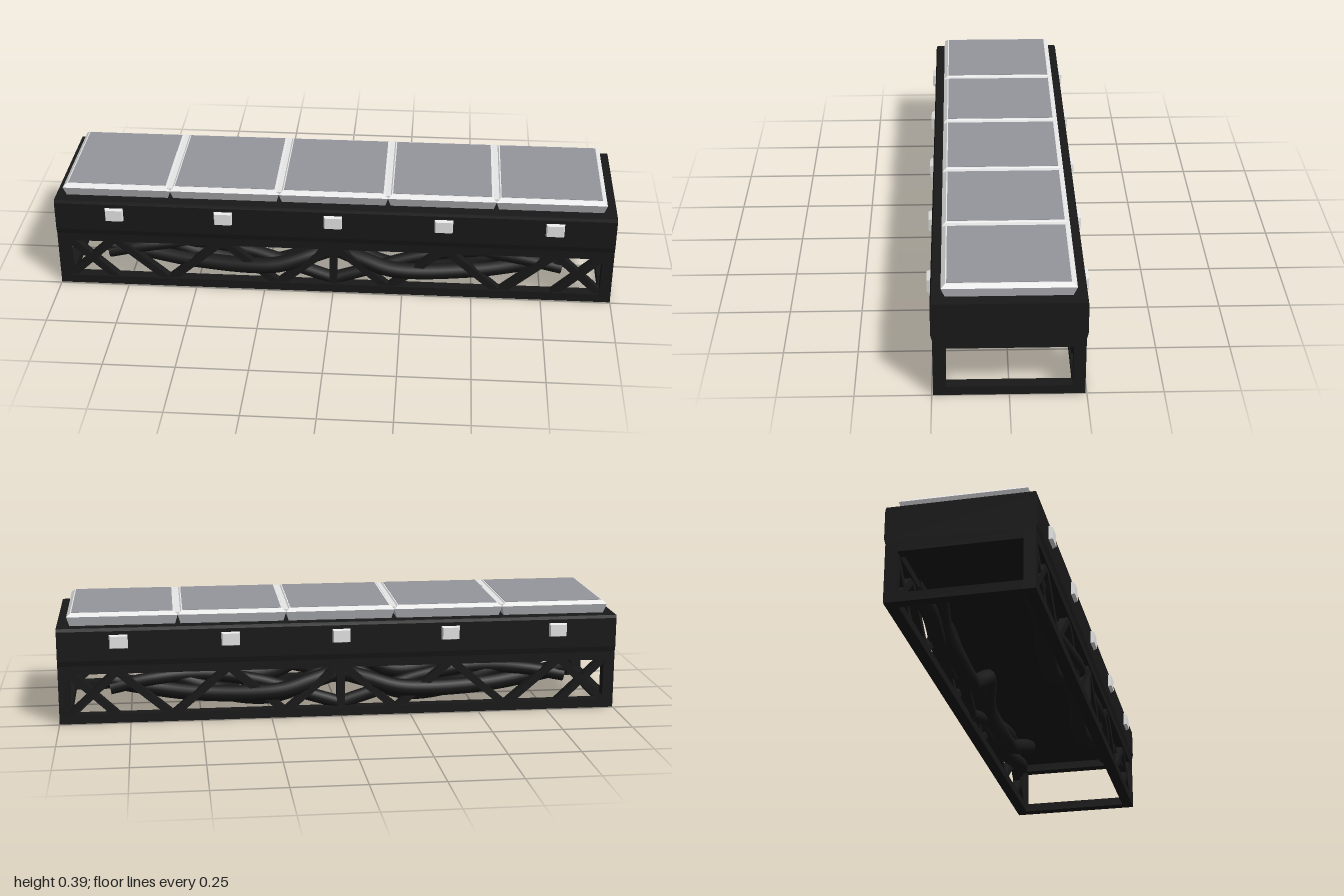
import * as THREE from 'three';

const mat = (name, color) => {
  const m = new THREE.MeshStandardMaterial({ color });
  m.name = name;
  return m;
};

export function createModel() {
  const black = mat('black frame', 0x191919);
  const grey = mat('grey pad', 0x95969c);
  const silver = mat('silver pad side', 0xc8c9ce);
  const pale = mat('pale trim', 0xfafafa);
  const root = new THREE.Group();

  const add = (name, geo, material, x = 0, y = 0, z = 0, parent = root) => {
    const m = new THREE.Mesh(geo, material);
    m.name = name;
    m.position.set(x, y, z);
    parent.add(m);
    return m;
  };
  const box = (name, w, h, d, x, y, z, material = black, parent = root) =>
    add(name, new THREE.BoxGeometry(w, h, d), material, x, y, z, parent);

  // Box whose bottom and top rectangles differ in size
  const frustum = (w0, d0, w1, d1, h) => {
    const g = new THREE.BoxGeometry(1, h, 1);
    const p = g.attributes.position;
    for (let i = 0; i < p.count; i++) {
      const top = p.getY(i) > 0;
      p.setX(i, p.getX(i) * (top ? w1 : w0));
      p.setZ(i, p.getZ(i) * (top ? d1 : d0));
    }
    g.computeVertexNormals();
    return g;
  };

  // Solid upper body: profile in (z, y), extruded along x
  const profile = new THREE.Shape([
    [-0.245, 0.21], [0.245, 0.21], [0.25, 0.23], [0.25, 0.335], [0.246, 0.346],
    [-0.246, 0.346], [-0.25, 0.335], [-0.25, 0.23],
  ].map(([a, b]) => new THREE.Vector2(a, b)));
  const bodyGeo = new THREE.ExtrudeGeometry(profile, { depth: 2, bevelEnabled: false });
  bodyGeo.translate(0, 0, -1).rotateY(Math.PI / 2);
  add('upperBody', bodyGeo, black);

  // Open base: bottom and top rails, corner posts
  for (const s of [-1, 1]) {
    for (const [name, y] of [['bottom', 0.016], ['top', 0.196]]) {
      box(name + 'LongRail', 2, 0.032, 0.04, 0, y, s * 0.225);
      box(name + 'EndRail', 0.04, 0.032, 0.41, s * 0.98, y, 0);
    }
    for (const t of [-1, 1]) box('cornerPost', 0.04, 0.18, 0.04, s * 0.98, 0.09, t * 0.225);
  }

  // One side of the base: truss struts and twisting vines
  const strut = (parent, x0, y0, x1, y1) => {
    const m = box('trussStrut', Math.hypot(x1 - x0, y1 - y0), 0.026, 0.03,
      (x0 + x1) / 2, (y0 + y1) / 2, 0.225, black, parent);
    m.rotation.z = Math.atan2(y1 - y0, x1 - x0);
  };
  const vine = (parent, s, radius, pts) => {
    const curve = new THREE.CatmullRomCurve3(pts.map(([x, y, z]) => new THREE.Vector3(s * x, y, z)));
    add('vine', new THREE.TubeGeometry(curve, 48, radius, 10), black, 0, 0, 0, parent);
  };
  for (const turn of [0, Math.PI]) {
    const side = new THREE.Group();
    side.name = turn ? 'backTruss' : 'frontTruss';
    side.rotation.y = turn;
    root.add(side);
    box('centrePost', 0.028, 0.16, 0.03, 0, 0.1, 0.225, black, side);
    for (const s of [-1, 1]) {
      strut(side, s * 0.97, 0.02, s * 0.79, 0.19);
      strut(side, s * 0.97, 0.19, s * 0.79, 0.02);
      for (let i = 0; i < 4; i++) {
        const a = 0.8 - i * 0.2;
        strut(side, s * a, i % 2 ? 0.02 : 0.19, s * (a - 0.2), i % 2 ? 0.19 : 0.02);
      }
      vine(side, s, 0.03, [[0.83, 0.15, 0.2], [0.7, 0.115, 0.18], [0.5, 0.09, 0.2],
        [0.22, 0.095, 0.228], [0.1, 0.125, 0.21], [0, 0.15, 0.18]]);
      vine(side, s, 0.024, [[0.82, 0.12, 0.21], [0.68, 0.145, 0.2], [0.5, 0.15, 0.17],
        [0.3, 0.125, 0.18], [0.12, 0.075, 0.2], [0, 0.04, 0.21]]);
      vine(side, s, 0.032, [[0.72, 0.195, 0.145], [0.55, 0.13, 0.17], [0.4, 0.075, 0.155],
        [0.25, 0.06, 0.15], [0.12, 0.11, 0.17], [0, 0.185, 0.145]]);
    }
  }

  // Five flared pads with pale bevelled rims and grey tops
  const edges = [-0.972, -0.586, -0.195, 0.193, 0.576, 0.964];
  for (let i = 0; i < 5; i++) {
    const w = edges[i + 1] - edges[i];
    const pad = new THREE.Group();
    pad.name = 'pad' + (i + 1);
    pad.position.x = (edges[i] + edges[i + 1]) / 2;
    root.add(pad);
    add('padSide', frustum(w - 0.02, 0.404, w, 0.43, 0.036), silver, 0, 0.362, 0, pad);
    add('padRim', frustum(w, 0.43, w - 0.026, 0.402, 0.012), pale, 0, 0.386, 0, pad);
    box('padTop', w - 0.034, 0.003, 0.394, 0, 0.3915, 0, grey, pad);
    // Pale seam filling the groove to the next pad
    if (i < 4) box('padSeam', 0.018, 0.006, 0.416, edges[i + 1], 0.3855, 0, pale);
  }

  // Small pale studs along both long sides
  for (const x of [-0.785, -0.393, 0, 0.393, 0.785])
    for (const s of [-1, 1]) {
      const stud = add('sideStud', frustum(0.07, 0.054, 0.058, 0.042, 0.02), pale, x, 0.297, s * 0.253);
      stud.rotation.x = s * Math.PI / 2;
    }

  return root;
}
